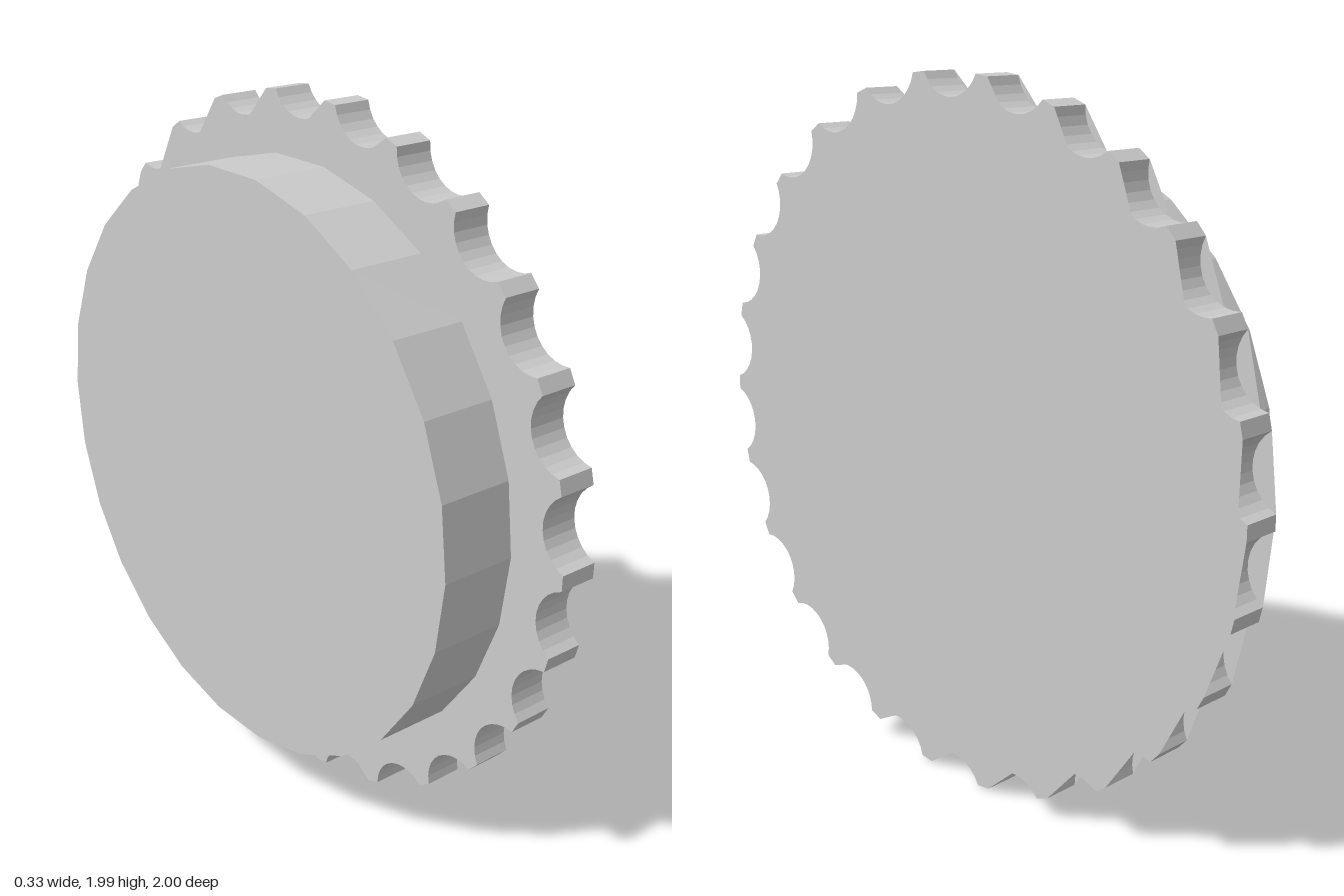
import * as THREE from 'three';

const TEETH = 26, STEP = (Math.PI * 2) / TEETH;
const CENTER_Y = 0.995, BACK_X = 0.055, FRONT_X = 0.165, DRUM_BACK_X = -0.165;

// Closed rim outline as [y, z] points: flat tooth tips joined by round scallops
function rimOutline() {
  const tip = 0.021, arcSegments = 10, sagitta = 0.062;
  const half = STEP / 2 - tip;
  const chord = Math.sin(half), chordR = Math.cos(half);
  const radius = (chord * chord + sagitta * sagitta) / (2 * sagitta);
  const centerR = chordR - sagitta + radius;
  const sweep = Math.asin(chord / radius);
  const points = [];
  for (let i = 0; i < TEETH; i++) {
    const a = i * STEP;
    points.push([Math.sin(a - tip), -Math.cos(a - tip)]);
    const mid = a + STEP / 2;
    for (let j = 0; j < arcSegments; j++) {
      const t = -sweep + (2 * sweep * j) / arcSegments;
      const r = centerR - radius * Math.cos(t), s = radius * Math.sin(t);
      points.push([
        r * Math.sin(mid) + s * Math.cos(mid),
        -r * Math.cos(mid) + s * Math.sin(mid),
      ]);
    }
    // far corner of the scallop
    points.push([Math.sin(mid + half), -Math.cos(mid + half)]);
  }
  return points;
}

// Scalloped plate; each cap is a fan from a rim corner, webbing the nearby scallops
function scallopedPlate() {
  const outline = rimOutline(), n = outline.length;
  const positions = [];
  const put = (x, i) => positions.push(x, outline[i % n][0], outline[i % n][1]);
  const frontHub = n - n / TEETH, backHub = 1;
  for (let i = 0; i < n; i++) {
    const k = i + 1;
    // rim wall
    put(BACK_X, i); put(BACK_X, k); put(FRONT_X, k);
    put(BACK_X, i); put(FRONT_X, k); put(FRONT_X, i);
    // caps
    if (i !== frontHub && k % n !== frontHub) {
      put(FRONT_X, frontHub); put(FRONT_X, i); put(FRONT_X, k);
    }
    if (i !== backHub && k % n !== backHub) {
      put(BACK_X, backHub); put(BACK_X, k); put(BACK_X, i);
    }
  }
  const geometry = new THREE.BufferGeometry();
  geometry.setAttribute('position', new THREE.Float32BufferAttribute(positions, 3));
  geometry.computeVertexNormals();
  return geometry;
}

export function createModel() {
  const group = new THREE.Group();
  group.name = 'scallopedKnob';
  const material = new THREE.MeshStandardMaterial({ color: 0xcccccc, flatShading: true });

  const plate = new THREE.Mesh(scallopedPlate(), material);
  plate.name = 'scallopedPlate';
  plate.position.y = CENTER_Y;

  // Faceted drum behind the plate
  const depth = BACK_X - DRUM_BACK_X;
  const drum = new THREE.Mesh(
    new THREE.CylinderGeometry(0.832, 0.832, depth, TEETH).rotateZ(Math.PI / 2), material);
  drum.name = 'drum';
  drum.position.set((BACK_X + DRUM_BACK_X) / 2, CENTER_Y, 0);

  group.add(plate, drum);
  return group;
}
